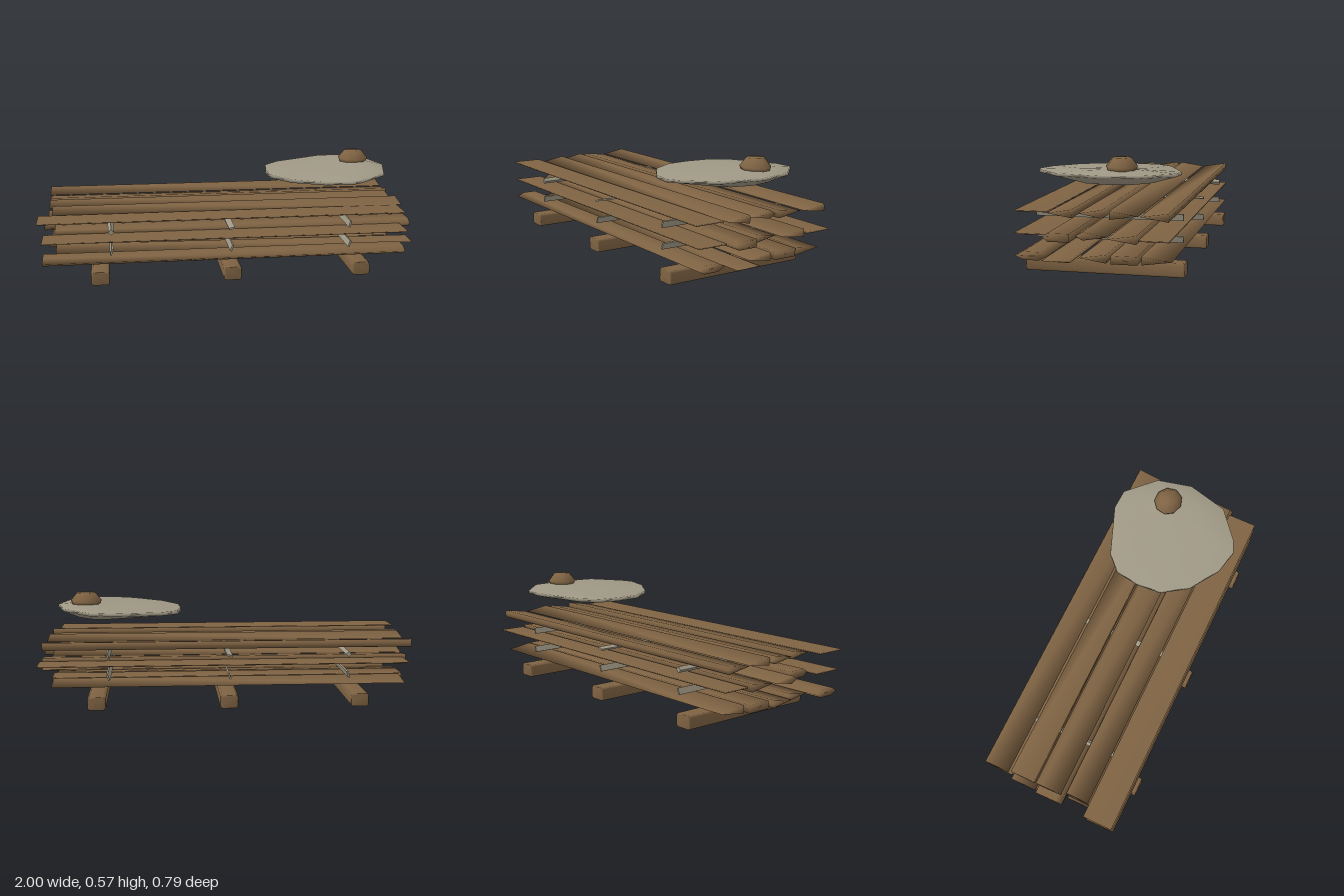
import * as THREE from 'three';

// Skin a list of rings (equal point counts) with smooth normals and end caps
function loft(rings) {
  const n = rings[0].length, pos = rings.flat(2), idx = [];
  for (let i = 0; i < rings.length - 1; i++) {
    for (let j = 0; j < n; j++) {
      const a = i * n + j, b = i * n + (j + 1) % n, c = b + n, d = a + n;
      idx.push(a, d, b, b, d, c);
    }
  }
  const last = (rings.length - 1) * n;
  for (let j = 1; j < n - 1; j++) {
    idx.push(0, j, j + 1, last, last + j + 1, last + j);
  }
  const g = new THREE.BufferGeometry();
  g.setAttribute('position', new THREE.Float32BufferAttribute(pos, 3));
  g.setIndex(idx);
  g.computeVertexNormals();
  return g;
}

export function createModel() {
  const model = new THREE.Group();
  const wood = new THREE.MeshStandardMaterial({ color: 0x7f6343 });
  wood.name = 'brown wood';
  const stone = new THREE.MeshStandardMaterial({ color: 0x9f9885 });
  stone.name = 'warm grey';
  const add = (name, geometry, material) => {
    const mesh = new THREE.Mesh(geometry, material);
    mesh.name = name;
    model.add(mesh);
    return mesh;
  };

  // Bearers: bevelled beams across the stack
  for (const x of [-0.69, -0.01, 0.67]) {
    const outline = [[-0.047, 0.06], [-0.047, 0.01], [-0.037, 0], [0.037, 0],
      [0.047, 0.01], [0.047, 0.06], [0.037, 0.07], [-0.037, 0.07]];
    const ring = (z, s) => outline.map(([u, v]) => [x + u * s, 0.035 + (v - 0.035) * s, z]);
    add('bearer', loft([ring(-0.395, 0.93), ring(-0.388, 1), ring(0.388, 1), ring(0.395, 0.93)].map(
      r => r.slice().reverse())), wood);
  }

  // Planks: profile points are [z, half thickness]; x0, x1 are the ends;
  // endThin flattens the right-hand end
  const T = 0.02, F = 0.003;
  function plank(y, x0, x1, profile, endThin = 1) {
    const ring = (x, s) => [
      ...profile.map(([z, h]) => [x, y + h * s, z]),
      ...profile.filter(p => p[1] > 0).reverse().map(([z, h]) => [x, y - h * s, z])
    ];
    add('plank', loft([ring(x0, 1), ring(x1, endThin)]), wood);
  }
  const layers = [
    { y: 0.117, planks: [
      [-0.98, 0.91, [[0.378, 0], [0.34, T], [0.26, T], [0.222, 0]]],
      [-0.92, 1.0, [[0.22, 0], [0.09, T], [0.08, 0]], 0.12],
      [-0.96, 0.9, [[0.07, 0], [-0.06, T], [-0.068, 0]]],
      [-0.95, 0.91, [[-0.085, T], [-0.21, T]]],
      [-0.93, 0.9, [[-0.228, T], [-0.37, 0]]] ] },
    { y: 0.224, planks: [
      [-0.98, 0.92, [[0.378, F], [0.222, F]]],
      [-0.92, 0.98, [[0.22, 0], [0.195, T], [0.092, T]]],
      [-0.98, 0.92, [[0.082, 0], [0.045, T], [-0.072, 0]]],
      [-0.97, 0.96, [[-0.078, 0], [-0.217, T]]],
      [-0.95, 0.97, [[-0.228, F], [-0.37, F]]] ] },
    { y: 0.328, planks: [
      [-1.0, 0.9, [[0.38, F], [0.222, F]]],
      [-0.93, 0.93, [[0.215, 0], [0.095, T], [0.09, 0]]],
      [-0.95, 0.91, [[0.07, 0], [-0.045, T], [-0.075, 0]]],
      [-0.95, 0.93, [[-0.083, T], [-0.22, 0]]],
      [-0.96, 0.94, [[-0.23, 0], [-0.36, T], [-0.366, 0]]] ] }
  ];
  for (const { y, planks } of layers) for (const p of planks) plank(y, ...p);

  // Spacer sticks between the layers: [x, y, width, height, roll]
  const sticks = [
    [-0.63, 0.166, 0.009, 0.034, -0.3], [-0.012, 0.166, 0.009, 0.034, -0.35],
    [0.61, 0.166, 0.009, 0.034, -0.35], [-0.63, 0.273, 0.022, 0.022, 0.785],
    [-0.012, 0.272, 0.032, 0.009, 0.25], [0.61, 0.273, 0.009, 0.034, -0.25]
  ];
  for (const [x, y, w, h, roll] of sticks) {
    const s = add('spacerStick', new THREE.BoxGeometry(w, h, 0.742), stone);
    s.position.set(x, y, 0);
    s.rotation.z = roll;
  }

  // Floating slab: an irregular outline lofted from flat base to low peak
  const rim = [[0.245, -0.18], [0.325, -0.26], [0.59, -0.36], [0.7, -0.355], [0.845, -0.21],
    [0.89, -0.02], [0.835, 0.2], [0.685, 0.325], [0.62, 0.355], [0.485, 0.325],
    [0.325, 0.22], [0.235, 0.085], [0.225, -0.05]];
  const slabRing = (s, y, tilt, cx, cz) => rim.map(([x, z]) =>
    [cx + (x - cx) * s, y + tilt * (x - 0.56), cz + (z - cz) * s]);
  add('slab', loft([
    slabRing(0.02, 0.445, 0, 0.66, -0.08),
    slabRing(0.55, 0.446, 0, 0.66, -0.08),
    slabRing(0.99, 0.476, 0.04, 0.56, 0),
    slabRing(0.985, 0.492, 0.03, 0.56, 0),
    slabRing(0.5, 0.504, 0.03, 0.72, -0.1),
    slabRing(0.02, 0.517, 0, 0.72, -0.1)
  ]), stone);

  // Knob resting on the slab
  const profile = [[0, 0.505], [0.074, 0.508], [0.083, 0.53], [0.048, 0.572], [0, 0.575]]
    .map(([r, y]) => new THREE.Vector2(r, y));
  const knob = add('knob', new THREE.LatheGeometry(profile, 9), wood);
  knob.position.set(0.732, 0, -0.095);
  knob.scale.z = 0.92;

  return model;
}
